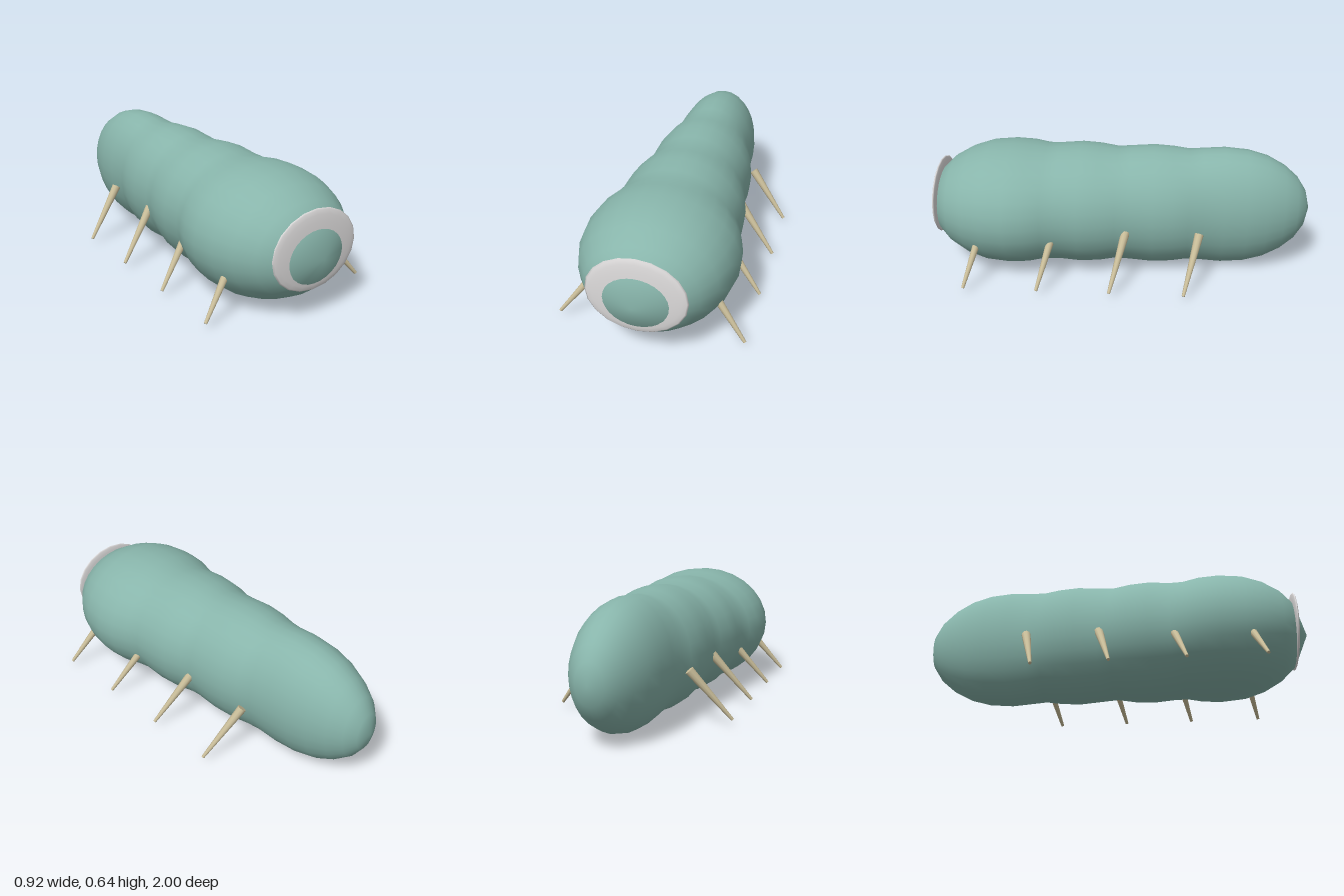
import * as THREE from 'three';

const material = (name, color, extra) => Object.assign(new THREE.MeshStandardMaterial({ color }), { name }, extra);

// Body cross-sections from front to back: z, half width, half height
const rings = [
  [0.931, 0.19, 0.16], [0.86, 0.273, 0.227], [0.77, 0.333, 0.277], [0.67, 0.37, 0.308],
  [0.55, 0.385, 0.318], [0.45, 0.374, 0.314], [0.37, 0.347, 0.301], [0.3, 0.322, 0.307],
  [0.19, 0.322, 0.318], [0.09, 0.313, 0.312], [0, 0.288, 0.299], [-0.07, 0.274, 0.308],
  [-0.19, 0.276, 0.318], [-0.29, 0.267, 0.312], [-0.37, 0.248, 0.301], [-0.44, 0.225, 0.309],
  [-0.55, 0.22, 0.318], [-0.67, 0.211, 0.308], [-0.77, 0.19, 0.28], [-0.86, 0.157, 0.231],
  [-0.93, 0.117, 0.17], [-0.975, 0.07, 0.1],
];
const CENTER_Y = 0.322;

function bodyGeometry(sides = 28) {
  const pos = [0, CENTER_Y, 0.998];
  const index = [];
  for (const [z, w, h] of rings) {
    for (let i = 0; i < sides; i++) {
      const a = (i / sides) * Math.PI * 2;
      pos.push(w * Math.cos(a), CENTER_Y + h * Math.sin(a), z);
    }
  }
  pos.push(0, CENTER_Y, -1);
  const last = pos.length / 3 - 1;
  const at = (r, i) => 1 + r * sides + (i % sides);
  for (let i = 0; i < sides; i++) {
    index.push(0, at(0, i), at(0, i + 1));
    for (let r = 0; r < rings.length - 1; r++) {
      const a = at(r, i), b = at(r, i + 1), c = at(r + 1, i), d = at(r + 1, i + 1);
      index.push(a, c, b, b, c, d);
    }
    index.push(at(rings.length - 1, i), last, at(rings.length - 1, i + 1));
  }
  const g = new THREE.BufferGeometry();
  g.setAttribute('position', new THREE.Float32BufferAttribute(pos, 3));
  g.setIndex(index);
  g.computeVertexNormals();
  return g;
}

export function createModel() {
  const model = new THREE.Group();
  model.name = 'grub';
  const skin = material('skin green', 0x88b5ab);
  const white = material('mouth white', 0xdedcdc);
  const horn = material('leg tan', 0xc9bd99);

  const add = (name, geometry, mat) => {
    const mesh = new THREE.Mesh(geometry, mat);
    mesh.name = name;
    model.add(mesh);
    return mesh;
  };

  // Four-lobed body
  add('body', bodyGeometry(), skin);

  // Flattened disc around the snout; the body tip pokes through it
  const mouth = add('mouthRing', new THREE.SphereGeometry(1, 20, 12).rotateX(Math.PI / 2), white);
  mouth.scale.set(0.238, 0.195, 0.019);
  mouth.position.set(0, 0.345, 0.93);

  // Four pairs of tapered legs
  const up = new THREE.Vector3(0, 1, 0);
  [0.75, 0.38, 0.015, -0.355].forEach((footZ, n) => {
    for (const side of [1, -1]) {
      const hip = new THREE.Vector3(side * 0.257, 0.278, footZ - 0.072);
      const foot = new THREE.Vector3(side * 0.453, 0.034, footZ);
      const axis = hip.clone().sub(foot);
      const leg = add(`${side > 0 ? 'left' : 'right'}Leg${n + 1}`,
        new THREE.CylinderGeometry(0.023, 0.008, axis.length(), 10), horn);
      leg.position.copy(hip).add(foot).multiplyScalar(0.5);
      leg.quaternion.setFromUnitVectors(up, axis.normalize());
    }
  });
  return model;
}
